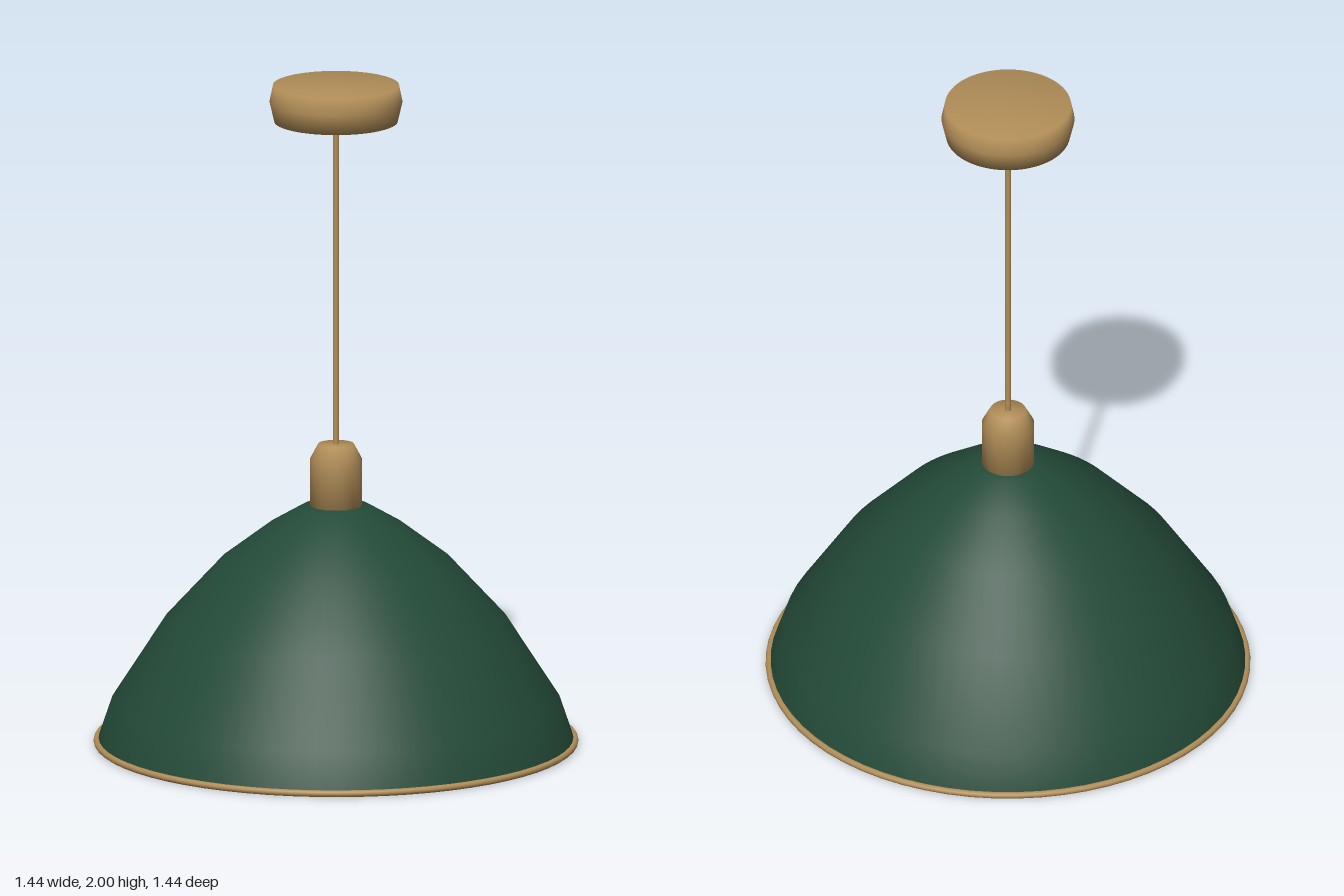
import * as THREE from 'three';

const SEGMENTS = 64;

export function createModel() {
  const group = new THREE.Group();
  const brass = new THREE.MeshStandardMaterial({ color: 0xb08d57 });
  const green = new THREE.MeshStandardMaterial({ color: 0x234a38, side: THREE.DoubleSide });
  const cream = new THREE.MeshStandardMaterial({ color: 0xf5e6c8 });

  const add = (name, geometry, material, y = 0) => {
    const mesh = new THREE.Mesh(geometry, material);
    mesh.name = name;
    mesh.position.y = y;
    group.add(mesh);
    return mesh;
  };
  // Profiles run from bottom to top as [radius, height]
  const lathe = (profile) =>
    new THREE.LatheGeometry(profile.map(([r, y]) => new THREE.Vector2(r, y)), SEGMENTS);

  // Ceiling canopy
  add('canopy', lathe([[0, 1.89], [0.183, 1.89], [0.197, 1.95], [0.187, 2], [0, 2]]), brass);

  // Hanging rod, running into canopy and socket
  add('rod', new THREE.CylinderGeometry(0.009, 0.009, 1.01, 16), brass, 1.395);

  // Lamp socket cover
  add('socket', lathe([[0, 0.72], [0.077, 0.72], [0.077, 0.865], [0.053, 0.91], [0, 0.91]]), brass);

  // Open bell-shaped shade
  add('shade', lathe([
    [0.705, 0.012], [0.665, 0.13], [0.51, 0.372], [0.342, 0.555],
    [0.2, 0.663], [0.1, 0.722], [0.06, 0.726],
  ]), green);

  // Rolled rim around the shade opening
  add('rim', new THREE.TorusGeometry(0.708, 0.01, 10, SEGMENTS), brass, 0.01).rotation.x = Math.PI / 2;

  // Light diffuser inside the shade
  add('diffuser', new THREE.CylinderGeometry(0.61, 0.61, 0.015, SEGMENTS), cream, 0.055);

  return group;
}
